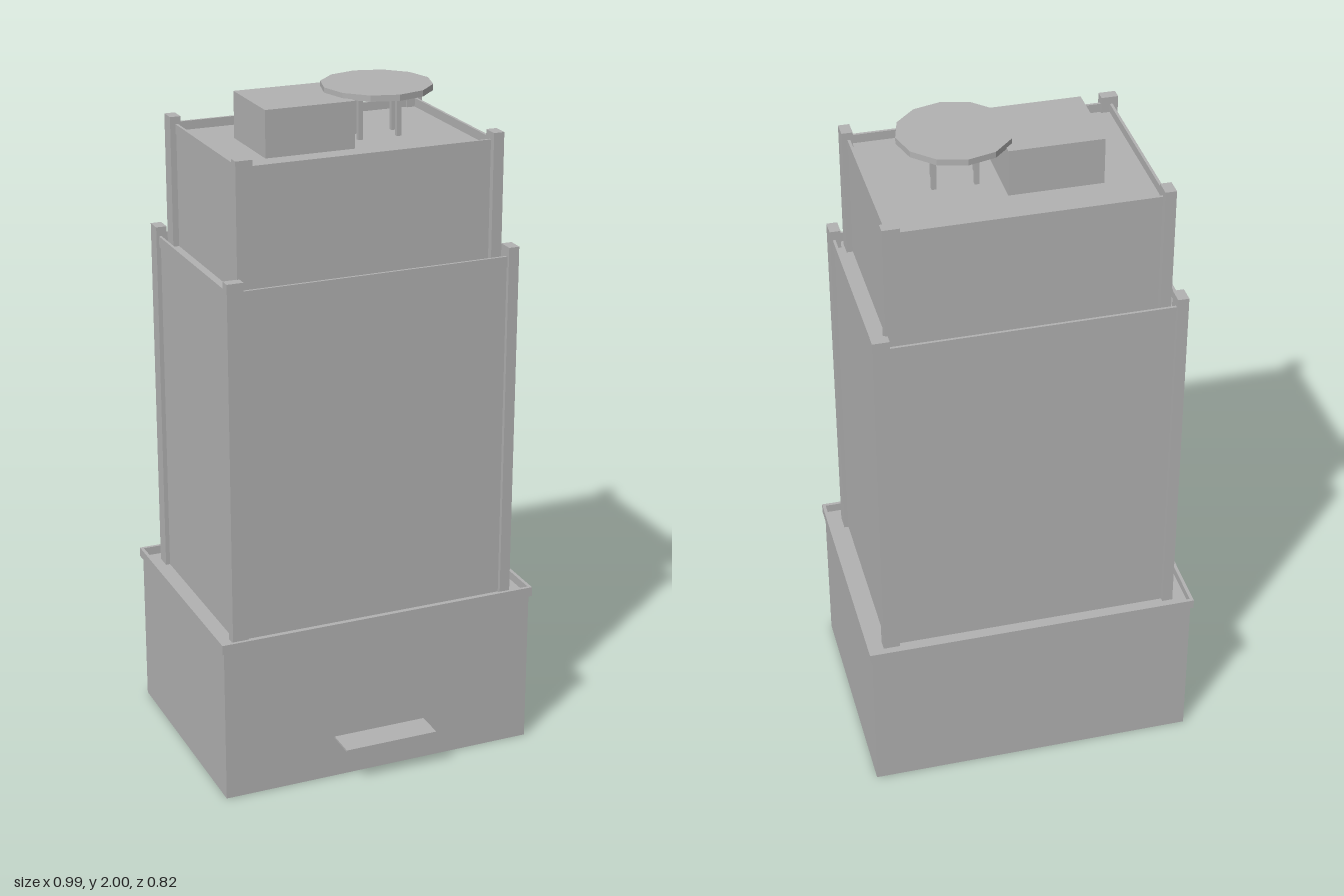
import * as THREE from 'three';

const concrete = new THREE.MeshStandardMaterial({ color: 0xb2b2b2, side: THREE.DoubleSide });
concrete.name = 'concreteGrey';

function add(group, name, geometry) {
  const mesh = new THREE.Mesh(geometry, concrete);
  mesh.name = name;
  group.add(mesh);
  return mesh;
}

// Box given by its minimum and maximum on each axis
function box(group, name, [x0, x1], [y0, y1], [z0, z1]) {
  const mesh = add(group, name, new THREE.BoxGeometry(x1 - x0, y1 - y0, z1 - z0));
  mesh.position.set((x0 + x1) / 2, (y0 + y1) / 2, (z0 + z1) / 2);
  return mesh;
}

// Rectangular parapet frame; its z range is centred on zMid
function parapet(group, name, halfX, halfZ, width, y0, y1, zMid) {
  const outline = (Type, a, b) => {
    const p = new Type();
    p.moveTo(-a, -b);
    p.lineTo(a, -b);
    p.lineTo(a, b);
    p.lineTo(-a, b);
    p.closePath();
    return p;
  };
  const shape = outline(THREE.Shape, halfX, halfZ);
  shape.holes.push(outline(THREE.Path, halfX - width, halfZ - width));
  const geometry = new THREE.ExtrudeGeometry(shape, { depth: y1 - y0, bevelEnabled: false });
  geometry.rotateX(-Math.PI / 2);
  add(group, name, geometry).position.set(0, y0, zMid);
}

// Corner posts, their long side turning from corner to corner
function cornerPosts(group, halfX, halfZ, y0, y1, zMid) {
  const long = 0.049, short = 0.032;
  for (const sx of [-1, 1]) for (const sz of [-1, 1]) {
    const alongX = sx !== sz;
    const w = alongX ? long : short, d = alongX ? short : long;
    const post = add(group, 'cornerPost', new THREE.BoxGeometry(w, y1 - y0, d));
    post.position.set(sx * (halfX - w / 2), (y0 + y1) / 2, zMid + sz * (halfZ - d / 2));
  }
}

export function createModel() {
  const model = new THREE.Group();
  model.name = 'towerBlock';
  const zMid = -0.042;

  // Podium, open underneath
  const podium = box(model, 'podium', [-0.489, 0.489], [0, 0.478], [-0.4, 0.317]);
  const faces = Array.from(podium.geometry.index.array);
  faces.splice(18, 6);
  podium.geometry.setIndex(faces);
  podium.geometry.clearGroups();
  parapet(model, 'podiumParapet', 0.496, 0.367, 0.01, 0.475, 0.504, zMid);

  // Entrance canopy
  box(model, 'entranceCanopy', [-0.145, 0.145], [0.125, 0.131], [0.317, 0.408]);

  // Main shaft
  const shaft = new THREE.Group();
  shaft.name = 'mainShaft';
  box(shaft, 'shaftWalls', [-0.432, 0.432], [0.478, 1.508], [-0.347, 0.262]);
  parapet(shaft, 'shaftParapet', 0.437, 0.3085, 0.008, 1.503, 1.536, zMid);
  cornerPosts(shaft, 0.445, 0.317, 0.478, 1.564, zMid);

  // Set-back upper storeys
  const upper = new THREE.Group();
  upper.name = 'upperStoreys';
  const upperMid = -0.043;
  box(upper, 'upperWalls', [-0.385, 0.385], [1.508, 1.848], [-0.312, 0.226]);
  parapet(upper, 'upperParapet', 0.387, 0.271, 0.008, 1.845, 1.874, upperMid);
  cornerPosts(upper, 0.403, 0.288, 1.508, 1.896, upperMid);

  // Rooftop plant room
  box(model, 'plantRoom', [-0.252, 0.018], [1.848, 1.985], [-0.163, 0.081]);

  // Twelve-sided landing pad on four legs
  const pad = new THREE.Group();
  pad.name = 'landingPad';
  pad.position.set(0.138, 0, zMid);
  add(pad, 'padDeck', new THREE.CylinderGeometry(0.162, 0.162, 0.018, 12).toNonIndexed())
    .geometry.computeVertexNormals();
  pad.children[0].position.y = 1.991;
  for (const [x, z] of [[-0.067, 0.034], [-0.053, -0.035], [0.053, 0.035], [0.067, -0.034]]) {
    box(pad, 'padLeg', [x - 0.007, x + 0.007], [1.848, 1.983], [z - 0.007, z + 0.007]);
  }

  model.add(shaft, upper, pad);
  return model;
}
